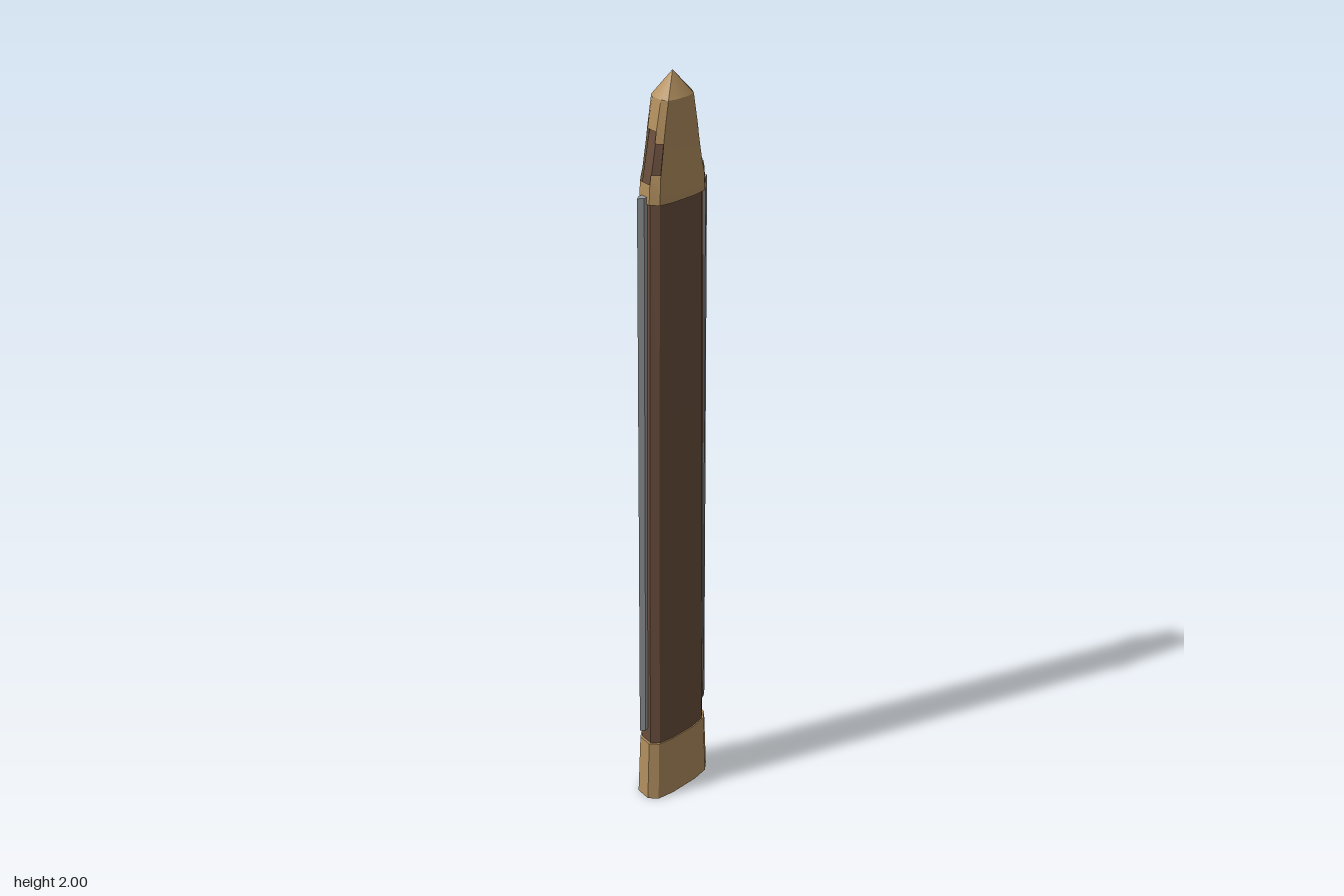
import * as THREE from 'three';
import { toCreasedNormals } from 'three/addons/utils/BufferGeometryUtils.js';

// Unit cross-section: a flattened 12-sided oval, counter-clockwise from above
const OVAL = [[1, 0.42], [1, -0.42], [0.8, -0.85], [0.38, -1], [-0.38, -1], [-0.8, -0.85],
  [-1, -0.42], [-1, 0.42], [-0.8, 0.85], [-0.38, 1], [0.38, 1], [0.8, 0.85]];
const oval = (y, w, d) => OVAL.map(([x, z]) => new THREE.Vector3(x * w, y, z * d));

// Skin a stack of rings with capped ends; skip(ring, edge) leaves a face open
function loft(rings, skip = () => false) {
  const pos = [];
  const tri = (...pts) => pts.forEach((p) => pos.push(p.x, p.y, p.z));
  const n = rings[0].length;
  const top = rings.length - 1;
  for (let r = 0; r < top; r++) {
    for (let i = 0; i < n; i++) {
      if (skip(r, i)) continue;
      const j = (i + 1) % n;
      const [a, b, c, d] = [rings[r][i], rings[r][j], rings[r + 1][j], rings[r + 1][i]];
      tri(a, b, d);
      tri(b, c, d);
    }
  }
  for (let i = 1; i < n - 1; i++) {
    tri(rings[0][0], rings[0][i + 1], rings[0][i]);
    tri(rings[top][0], rings[top][i], rings[top][i + 1]);
  }
  const geo = new THREE.BufferGeometry();
  geo.setAttribute('position', new THREE.Float32BufferAttribute(pos, 3));
  return toCreasedNormals(geo, 0.5);
}

export function createModel() {
  const group = new THREE.Group();
  const brass = new THREE.MeshStandardMaterial({ color: 0xb3905f, side: THREE.DoubleSide });
  const leather = new THREE.MeshStandardMaterial({ color: 0x6b4f3e });
  const steel = new THREE.MeshStandardMaterial({ color: 0x989b9e });
  const add = (name, geo, mat) => {
    const mesh = new THREE.Mesh(geo, mat);
    mesh.name = name;
    group.add(mesh);
  };

  // Leather sheath, carried on inside the tip so it shows through the windows
  add('sheath', loft([
    oval(0.1, 0.092, 0.041), oval(0.6, 0.088, 0.038), oval(1.73, 0.074, 0.033),
    oval(1.78, 0.071, 0.031), oval(1.87, 0.055, 0.029), oval(1.92, 0.043, 0.027),
  ]), leather);

  // Collar around the mouth
  add('mouthCollar', loft([oval(0, 0.105, 0.047), oval(0.195, 0.097, 0.043)]), brass);

  // Pointed tip with an arched window on each narrow side
  const tip = [[1.73, 0.079, 0.039], [1.775, 0.076, 0.038], [1.795, 0.072, 0.035],
    [1.86, 0.06, 0.033], [1.885, 0.056, 0.033], [1.95, 0.043, 0.032], [2, 0.0005, 0.0005]];
  const window = (r, i) => {
    const flat = i % 6 === 0;
    const bevel = i % 6 === 1 || i % 6 === 5;
    return (flat && r >= 1 && r <= 3) || (bevel && r === 2);
  };
  add('tip', loft(tip.map((t) => oval(...t)), window), brass);

  // Sharp-edged steel rail along each narrow side
  const RAIL = [[0, 0], [-0.012, -0.009], [-0.02, -0.008], [-0.026, -0.004],
    [-0.026, 0.004], [-0.02, 0.008], [-0.012, 0.009]];
  const railRing = (y, x) => RAIL.map(([dx, z]) => new THREE.Vector3(x + dx, y, z));
  const mirror = (ring) => ring.map((p) => new THREE.Vector3(-p.x, p.y, -p.z));
  const rail = [railRing(0.24, 0.113), railRing(1.745, 0.098)];
  add('leftRail', loft(rail), steel);
  add('rightRail', loft(rail.map(mirror)), steel);

  return group;
}
